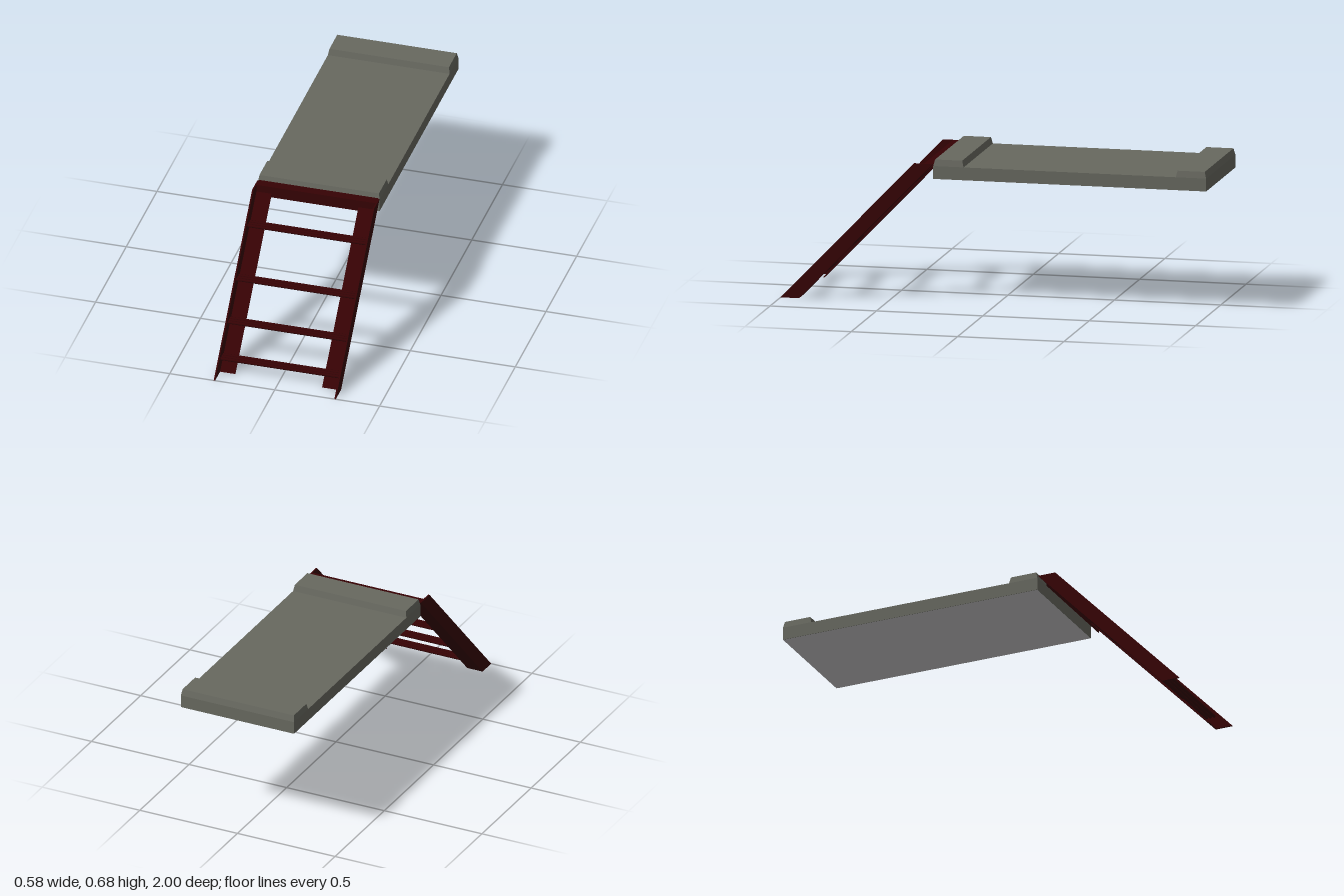
import * as THREE from 'three';

const HALF = 0.29;       // half width of the whole model
const SKIN = 0.006;      // sheet thickness of the ladder
const TOP = 0.653;       // top of the ladder

export function createModel() {
  const grey = new THREE.MeshStandardMaterial({ color: 0x67685f });
  grey.name = 'deck grey';
  const under = new THREE.MeshStandardMaterial({ color: 0xcccbcc });
  under.name = 'underside light grey';
  const red = new THREE.MeshStandardMaterial({ color: 0x360204 });
  red.name = 'dark red';

  const model = new THREE.Group();
  const add = (parent, name, geometry, material, x = 0, y = 0, z = 0) => {
    const mesh = new THREE.Mesh(geometry, material);
    mesh.name = name;
    mesh.position.set(x, y, z);
    parent.add(mesh);
    return mesh;
  };

  // Extrudes a [z, y] outline between two x values
  const sideExtrude = (points, x0, x1) => {
    const shape = new THREE.Shape(points.map(([z, y]) => new THREE.Vector2(-z, y)));
    const geometry = new THREE.ExtrudeGeometry(shape, { depth: x1 - x0, bevelEnabled: false });
    return geometry.rotateY(Math.PI / 2).translate(x0, 0, 0);
  };

  // Deck slab with raised, tapered ends and a light underside
  const deck = new THREE.Group();
  deck.name = 'deck';
  model.add(deck);
  add(deck, 'deckSlab', new THREE.BoxGeometry(2 * HALF, 0.06, 1.283), grey, 0, 0.615, -0.3585);
  add(deck, 'deckUnderside',
    new THREE.PlaneGeometry(2 * HALF, 1.283).rotateX(Math.PI / 2), under, 0, 0.584, -0.3585);
  for (const [name, z] of [['frontLip', 0.2115], ['backLip', -0.9285]]) {
    const lip = new THREE.BoxGeometry(2 * HALF, 0.03, 0.143);
    const p = lip.attributes.position;
    for (let i = 0; i < p.count; i++) {
      if (p.getY(i) > 0) p.setXYZ(i, p.getX(i) * 0.982, p.getY(i), p.getZ(i) * 0.89);
    }
    lip.computeVertexNormals();
    add(deck, name, lip, grey, 0, 0.66, z);
  }

  // Ladder: the rear plane of the rails leans back along this line
  const ladder = new THREE.Group();
  ladder.name = 'ladder';
  model.add(ladder);
  const rearZ = (y) => 0.913 - (y / TOP) * 0.626;
  const slanted = (depth) => [
    [rearZ(0), 0], [rearZ(0) + depth, 0], [rearZ(TOP) + depth, TOP], [rearZ(TOP), TOP],
  ];

  // Angle-section rails: a side plate and a rear flange each
  for (const [side, s, inner] of [['left', 1, 0.202], ['right', -1, 0.212]]) {
    const span = (a, b) => [Math.min(s * a, s * b), Math.max(s * a, s * b)];
    add(ladder, side + 'SidePlate',
      sideExtrude(slanted(0.087), ...span(HALF - SKIN, HALF + 0.001)), red);
    add(ladder, side + 'Flange',
      sideExtrude(slanted(SKIN), ...span(inner, HALF - SKIN)), red);
  }

  // Header angle joining the rails: a flat top sheet and an upright front sheet
  const width = 2 * (HALF - SKIN);
  add(ladder, 'headerTop',
    new THREE.PlaneGeometry(width, 0.045).rotateX(-Math.PI / 2), red, 0, TOP, 0.3045);
  add(ladder, 'headerFront', new THREE.PlaneGeometry(width, 0.055), red, 0, TOP - 0.0275, 0.327);

  // Rungs, each made of three slim bars
  for (const [y, z] of [[0.0645, 0.89], [0.1895, 0.77], [0.3385, 0.634], [0.5185, 0.45]]) {
    const rung = new THREE.Group();
    rung.name = 'rung';
    rung.position.set(0, y, z);
    ladder.add(rung);
    for (const dz of [-0.0185, 0, 0.0185]) {
      const bar = new THREE.CylinderGeometry(0.0073, 0.0073, width, 8);
      add(rung, 'rungBar', bar.rotateZ(Math.PI / 2), red, 0, 0, dz);
    }
  }

  return model;
}
